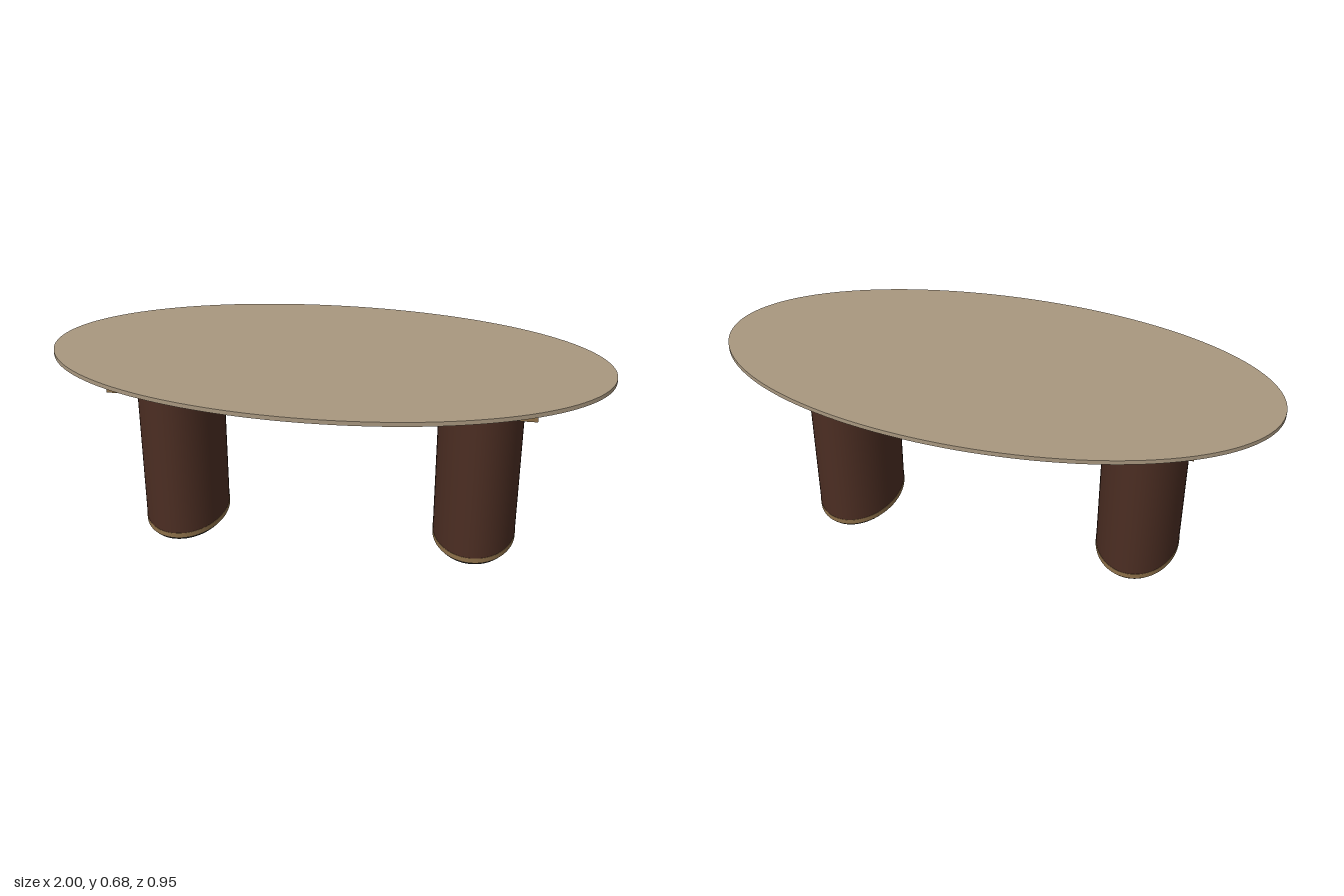
import * as THREE from 'three';

export function createModel() {
  const table = new THREE.Group();
  table.name = 'ovalTable';

  const material = (name, color) => {
    const m = new THREE.MeshStandardMaterial({ color });
    m.name = name;
    return m;
  };
  const stone = material('taupeTop', 0xa8977f);
  const wood = material('darkWood', 0x4b2d22);
  const brass = material('brass', 0x8d7049);
  const steel = material('greySteel', 0x5c666b);
  const rubber = material('blackFoot', 0x1a1a1a);

  // Upright elliptical slab between two heights
  function oval(parent, name, mat, rx, rz, y0, y1, segments = 64) {
    const geo = new THREE.CylinderGeometry(1, 1, y1 - y0, segments);
    geo.scale(rx, 1, rz);
    // Rebuild side normals for the stretched section
    const n = geo.attributes.normal;
    const p = geo.attributes.position;
    const v = new THREE.Vector3();
    for (let i = 0; i < n.count; i++) {
      if (Math.abs(n.getY(i)) > 0.5) continue;
      v.set(p.getX(i) / (rx * rx), 0, p.getZ(i) / (rz * rz)).normalize();
      n.setXYZ(i, v.x, v.y, v.z);
    }
    const mesh = new THREE.Mesh(geo, mat);
    mesh.name = name;
    mesh.position.y = (y0 + y1) / 2;
    parent.add(mesh);
  }

  function box(name, mat, w, h, d, x, y, z) {
    const mesh = new THREE.Mesh(new THREE.BoxGeometry(w, h, d), mat);
    mesh.name = name;
    mesh.position.set(x, y, z);
    table.add(mesh);
  }

  // Thin oval top
  oval(table, 'tableTop', stone, 1, 0.477, 0.667, 0.683, 128);

  // Pedestal legs with a brass band and recessed foot
  for (const side of [-1, 1]) {
    const leg = new THREE.Group();
    leg.name = side > 0 ? 'leftLeg' : 'rightLeg';
    leg.position.x = side * 0.546;
    oval(leg, 'legColumn', wood, 0.152, 0.218, 0.03, 0.62);
    oval(leg, 'legBand', brass, 0.153, 0.219, 0.01, 0.03);
    oval(leg, 'legFoot', rubber, 0.144, 0.21, 0, 0.01);
    table.add(leg);
  }

  // Rectangular frame below the top
  for (const side of [-1, 1]) {
    box('sideRail', brass, 1.47, 0.044, 0.022, 0, 0.641, side * 0.255);
    box('endRail', brass, 0.022, 0.042, 0.488, side * 0.724, 0.64, 0);
    box('railTab', brass, 0.006, 0.053, 0.009, 0, 0.6395, side * 0.267);
  }

  // Steel cross bars carrying the top
  for (const x of [-0.44, 0, 0.44]) {
    box('crossBar', steel, 0.03, 0.034, 0.488, x, 0.65, 0);
  }

  return table;
}
